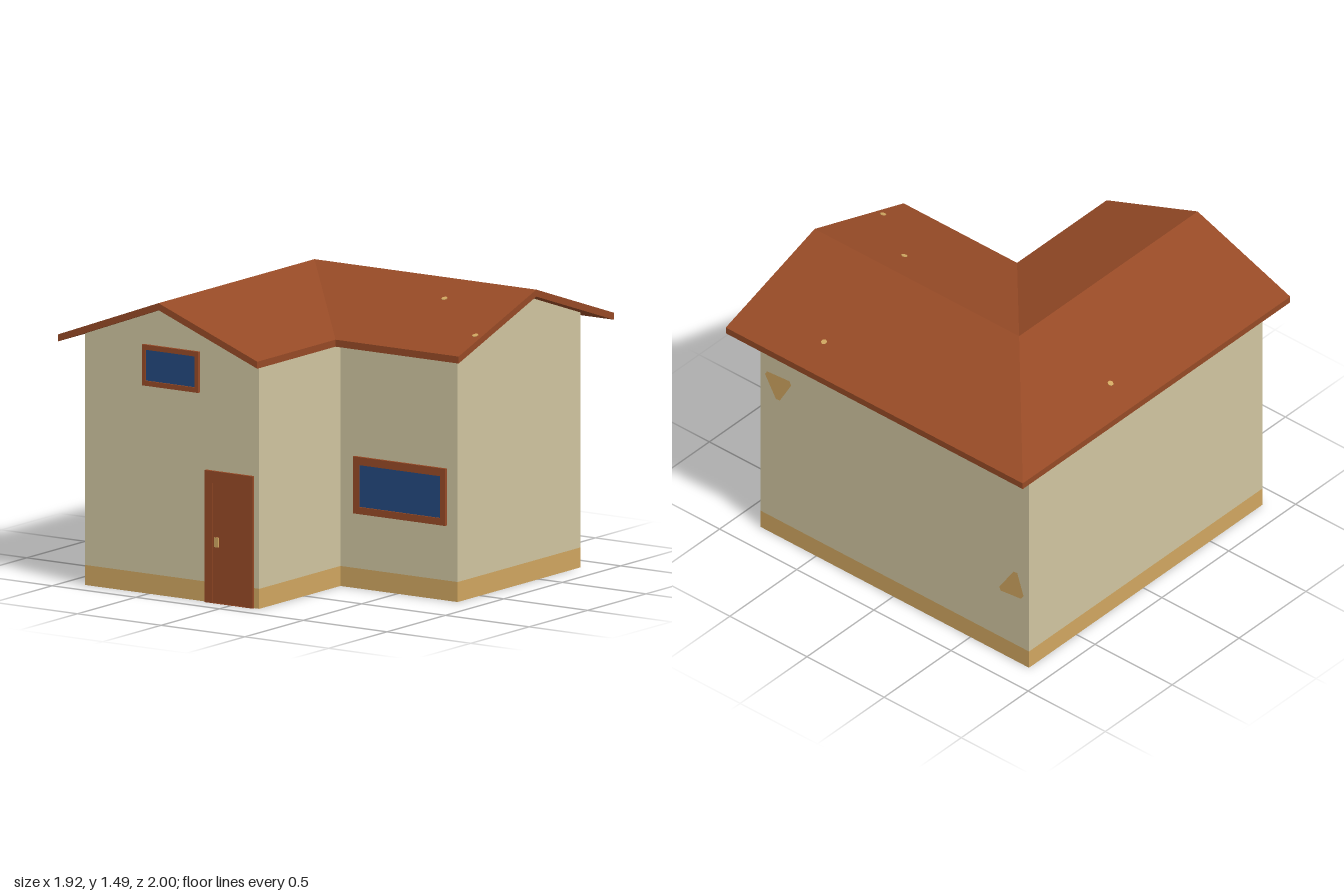
import * as THREE from 'three';

const material = (name, color, side = THREE.FrontSide) => {
  const m = new THREE.MeshStandardMaterial({ color, side });
  m.name = name;
  return m;
};

export function createModel() {
  const house = new THREE.Group();
  house.name = 'house';
  const plaster = material('plaster', 0xd0c5a0, THREE.DoubleSide);
  const sand = material('sandstone', 0xd0a660, THREE.DoubleSide);
  const rust = material('rustWood', 0x964a26);
  const glass = material('glass', 0x24497f);

  const add = (name, geometry, mat, x = 0, y = 0, z = 0, parent = house) => {
    const mesh = new THREE.Mesh(geometry, mat);
    mesh.name = name;
    mesh.position.set(x, y, z);
    parent.add(mesh);
    return mesh;
  };
  const polygon = (pts) => new THREE.Shape(pts.map(([x, y]) => new THREE.Vector2(x, y)));

  // Walls: open L-shaped shell, each side a plaster panel above a sandstone plinth
  const plinth = 0.1;
  const wall = (name, [ax, az], [bx, bz], startTop, endTop, peak) => {
    const length = Math.hypot(bx - ax, bz - az);
    const top = peak ? [[length, endTop], peak, [0, startTop]] : [[length, endTop], [0, startTop]];
    const side = new THREE.Group();
    side.name = name;
    side.position.set(ax, 0, az);
    side.rotation.y = Math.atan2(az - bz, bx - ax);
    add(name + 'Plaster', new THREE.ShapeGeometry(polygon([[0, plinth], [length, plinth], ...top])), plaster, 0, 0, 0, side);
    add(name + 'Plinth', new THREE.ShapeGeometry(polygon([[0, 0], [length, 0], [length, plinth], [0, plinth]])), sand, 0, 0, 0, side);
    house.add(side);
  };
  wall('frontGableWall', [-0.88, 0.89], [0.16, 0.89], 1.257, 1.25, [0.515, 1.45]);
  wall('innerSideWall', [0.16, 0.89], [0.16, 0.195], 1.25, 1.26);
  wall('innerFrontWall', [0.16, 0.195], [0.86, 0.195], 1.271, 1.271);
  wall('sideGableWall', [0.86, 0.195], [0.86, -0.855], 1.271, 1.274, [0.53, 1.45]);
  wall('backWall', [0.86, -0.855], [-0.88, -0.855], 1.274, 1.262);
  wall('outerSideWall', [-0.88, -0.855], [-0.88, 0.89], 1.257, 1.257);

  // Roof: one slab profile swept round the corner of the L
  const eave = 1.26, ridge = 1.485, thick = 0.035;
  const stations = [
    [[-0.965, 1], [-0.365, 1], [0.225, 1]],
    [[-0.965, -1], [-0.365, -0.335], [0.225, 0.33]],
    [[0.96, -1], [0.96, -0.335], [0.96, 0.33]],
  ].map((line) => {
    const upper = line.map(([x, z], i) => [x, i === 1 ? ridge : eave, z]);
    const lower = upper.map(([x, y, z]) => [x, y - thick, z]).reverse();
    return [...upper, ...lower];
  });
  const positions = [];
  const quad = (a, b, c, d) => [a, b, c, a, c, d].forEach((p) => positions.push(...p));
  for (let s = 0; s < 2; s++) {
    for (let i = 0; i < 6; i++) {
      const j = (i + 1) % 6;
      quad(stations[s][i], stations[s][j], stations[s + 1][j], stations[s + 1][i]);
    }
  }
  const [first, , last] = stations;
  for (const [i, j] of [[0, 1], [1, 2]]) {
    quad(first[i], first[5 - i], first[5 - j], first[j]);
    quad(last[i], last[j], last[5 - j], last[5 - i]);
  }
  const roofGeometry = new THREE.BufferGeometry();
  roofGeometry.setAttribute('position', new THREE.Float32BufferAttribute(positions, 3));
  roofGeometry.computeVertexNormals();
  add('roof', roofGeometry, rust);

  // Frames pass through the wall; the infill sits slightly back from the frame
  const depth = 0.03;
  const framed = (name, outer, inner, z, infillName, infillMaterial) => {
    const rect = ([x0, x1, y0, y1]) => [[x0, y0], [x1, y0], [x1, y1], [x0, y1]];
    const shape = polygon(rect(outer));
    shape.holes.push(polygon(rect(inner).reverse()));
    const group = new THREE.Group();
    group.name = name;
    add(name + 'Frame', new THREE.ExtrudeGeometry(shape, { depth, bevelEnabled: false }), rust, 0, 0, z - depth / 2, group);
    const [x0, x1, y0, y1] = inner;
    add(infillName, new THREE.BoxGeometry(x1 - x0, y1 - y0, 0.014), infillMaterial, (x0 + x1) / 2, (y0 + y1) / 2, z, group);
    house.add(group);
  };
  framed('upperWindow', [-0.53, -0.195, 1.04, 1.245], [-0.51, -0.215, 1.065, 1.22], 0.89, 'upperPane', glass);
  framed('lowerWindow', [0.245, 0.795, 0.375, 0.66], [0.28, 0.765, 0.41, 0.62], 0.195, 'lowerPane', glass);
  framed('door', [-0.155, 0.13, 0, 0.66], [-0.11, 0.085, 0.001, 0.6], 0.89, 'doorPanel', rust);
  add('doorHandle', new THREE.BoxGeometry(0.026, 0.048, 0.008), sand, -0.088, 0.305, 0.9);

  // Worn sandstone patches on the back wall, triangles with blunted corners
  const patches = [
    [[0.84, 0.98], [0.645, 0.995], [0.745, 0.82]],
    [[-0.675, 0.385], [-0.855, 0.405], [-0.8, 0.57]],
  ];
  for (const corners of patches) {
    const blunt = corners.flatMap((p, i) => {
      const toward = (q) => [p[0] + (q[0] - p[0]) * 0.13, p[1] + (q[1] - p[1]) * 0.13];
      return [toward(corners[(i + 2) % 3]), toward(corners[(i + 1) % 3])];
    });
    add('wallPatch', new THREE.ShapeGeometry(polygon(blunt)), sand, 0, 0, -0.859);
  }

  // Small flakes lying on the roof slopes
  const flakes = [
    [0.47, 1.3175, -0.83, -0.326, 0],
    [-0.81, 1.318, -0.165, 0, 0.359],
    [0.54, 1.4224, -0.15, 0.326, 0],
    [0.92, 1.3277, 0.13, 0.326, 0],
  ];
  for (const [x, y, z, rx, rz] of flakes) {
    add('roofFlake', new THREE.CylinderGeometry(0.016, 0.016, 0.006, 6), sand, x, y, z).rotation.set(rx, 0, rz);
  }
  return house;
}
